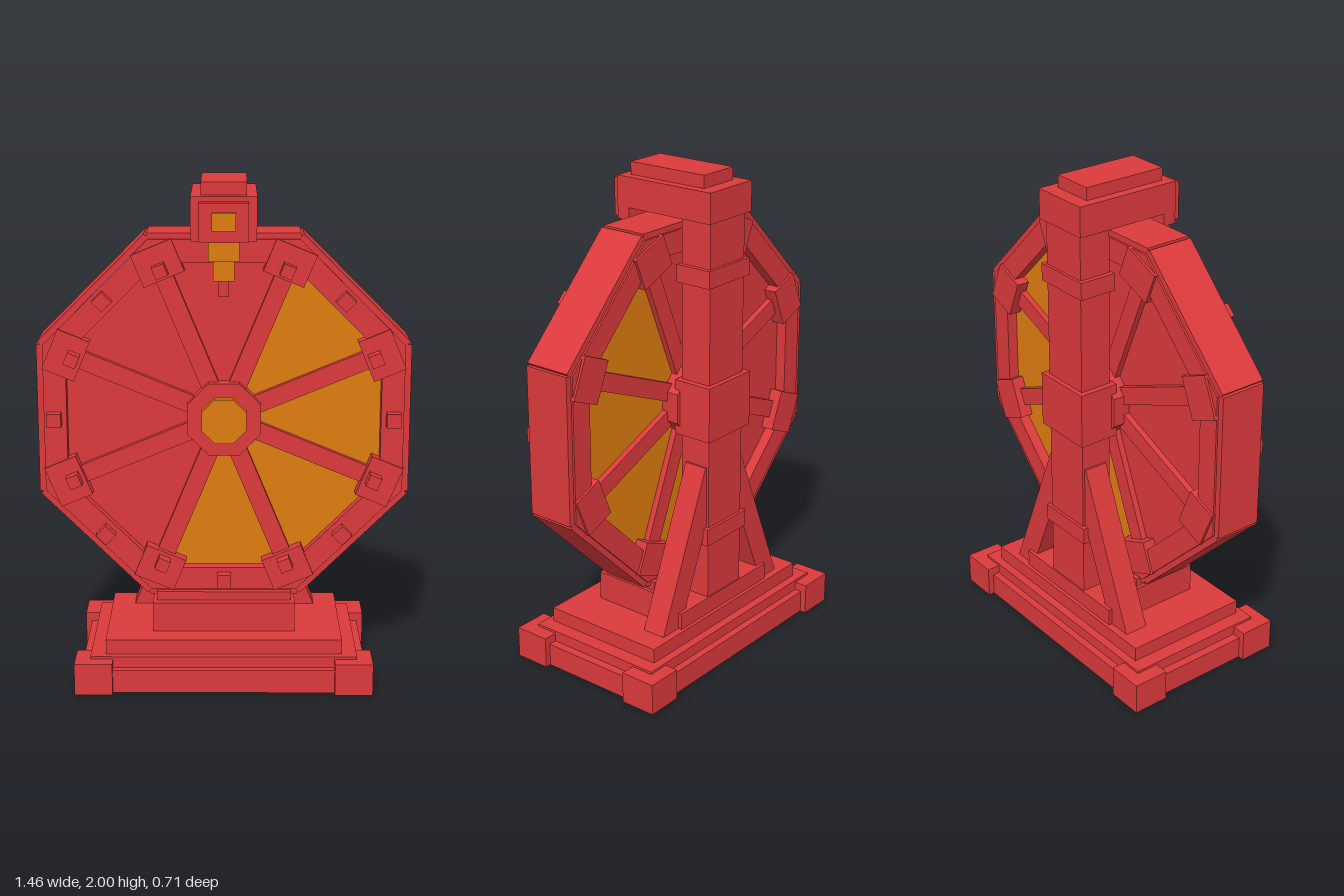
import * as THREE from 'three';

const red = new THREE.MeshStandardMaterial({ color: 0xdc3a3c });
red.name = 'red';
const orange = new THREE.MeshStandardMaterial({ color: 0xdf7d10 });
orange.name = 'orange';

// Box given by its limits on each axis
function box(parent, name, x0, x1, y0, y1, z0, z1, mat = red) {
  const m = new THREE.Mesh(new THREE.BoxGeometry(x1 - x0, y1 - y0, z1 - z0), mat);
  m.position.set((x0 + x1) / 2, (y0 + y1) / 2, (z0 + z1) / 2);
  m.name = name;
  parent.add(m);
  return m;
}

// Flat-topped octagon corners for a given apothem
function octagon(apothem) {
  const r = apothem / Math.cos(Math.PI / 8);
  return Array.from({ length: 8 }, (_, i) => {
    const a = Math.PI / 8 + i * Math.PI / 4;
    return new THREE.Vector2(r * Math.cos(a), r * Math.sin(a));
  });
}

// Shape extruded between two z values
function slab(parent, name, points, z0, z1, mat = red, hole) {
  const shape = new THREE.Shape(points);
  if (hole) shape.holes.push(new THREE.Path(hole));
  const geo = new THREE.ExtrudeGeometry(shape, { depth: z1 - z0, bevelEnabled: false });
  geo.translate(0, 0, z0);
  const m = new THREE.Mesh(geo, mat);
  m.name = name;
  parent.add(m);
  return m;
}

function buildBase() {
  const g = new THREE.Group();
  g.name = 'base';
  box(g, 'plinth', -0.565, 0.565, 0, 0.095, -0.33, 0.33);
  box(g, 'plinthStep', -0.53, 0.53, 0.095, 0.14, -0.3, 0.3);
  box(g, 'plinthTop', -0.47, 0.47, 0.14, 0.2, -0.265, 0.27);
  box(g, 'pedestal', -0.285, 0.285, 0.2, 0.32, -0.12, 0.175);
  box(g, 'pedestalTop', -0.27, 0.27, 0.32, 0.355, -0.1, 0.14);
  for (const sx of [-1, 1]) for (const sz of [-1, 1]) {
    const c = box(g, 'cornerFoot', -0.075, 0.075, 0, 0.13, -0.075, 0.075);
    c.position.x = sx * 0.515;
    c.position.z = sz * 0.28;
  }
  return g;
}

function buildWheel() {
  const g = new THREE.Group();
  g.name = 'wheel';
  g.position.y = 1.07;
  slab(g, 'rim', octagon(0.708), -0.09, 0.12, red, octagon(0.618));

  for (let i = 0; i < 8; i++) {
    // Side sector: panel, outer plate and stud
    const side = new THREE.Group();
    side.name = 'wheelSide';
    side.rotation.z = i * Math.PI / 4;
    g.add(side);
    const h = 0.625 * Math.tan(Math.PI / 8);
    const lit = i === 0 || i === 1 || i === 6 || i === 7;
    slab(side, 'panel', [[0, 0], [0.625, -h], [0.625, h]].map(p => new THREE.Vector2(...p)),
      -0.045, 0.075, lit ? orange : red);
    box(side, 'rimPlate', 0.695, 0.732, -0.297, 0.297, -0.082, 0.113);
    box(side, 'sideStud', 0.638, 0.694, -0.028, 0.028, 0.11, 0.16);

    // Corner sector: spoke, bracket and stud
    const corner = new THREE.Group();
    corner.name = 'wheelCorner';
    corner.rotation.z = (i + 0.5) * Math.PI / 4;
    g.add(corner);
    box(corner, 'spoke', 0.08, 0.66, -0.036, 0.036, -0.07, 0.1);
    box(corner, 'bracket', 0.6, 0.735, -0.085, 0.085, -0.1, 0.128);
    box(corner, 'cornerStud', 0.615, 0.665, -0.025, 0.025, 0.12, 0.178);
  }

  // Hub
  slab(g, 'hub', octagon(0.145), -0.12, 0.135);
  slab(g, 'hubCap', octagon(0.088), 0.13, 0.17, orange);
  return g;
}

function buildStand() {
  const g = new THREE.Group();
  g.name = 'stand';
  box(g, 'post', -0.105, 0.105, 0.2, 1.85, -0.245, -0.11);
  box(g, 'postFoot', -0.28, 0.28, 0.2, 0.27, -0.25, -0.11);
  box(g, 'lowerCollar', -0.125, 0.125, 0.51, 0.58, -0.257, -0.097);
  box(g, 'axleBlock', -0.13, 0.13, 0.96, 1.185, -0.265, -0.095);
  box(g, 'upperCollar', -0.125, 0.125, 1.58, 1.65, -0.257, -0.1);
  // Slanted braces either side of the post
  const profile = [[0.265, 0.2], [0.375, 0.2], [0.113, 0.84], [0.003, 0.84]];
  for (const s of [-1, 1]) {
    const pts = profile.map(([x, y]) => new THREE.Vector2(s * x, y));
    slab(g, 'brace', pts, -0.235, -0.135);
  }
  // Overhead arm
  box(g, 'arm', -0.127, 0.127, 1.83, 1.95, -0.26, 0.19);
  box(g, 'armCap', -0.088, 0.088, 1.95, 2, -0.2, 0.155);
  return g;
}

function buildPointer() {
  const g = new THREE.Group();
  g.name = 'pointer';
  box(g, 'pointerMount', -0.125, 0.125, 1.78, 1.84, 0.135, 0.19);
  box(g, 'pointerHead', -0.095, 0.095, 1.78, 1.93, 0.15, 0.232);
  box(g, 'headLamp', -0.045, 0.045, 1.825, 1.895, 0.22, 0.25, orange);
  box(g, 'pointerUpper', -0.06, 0.06, 1.705, 1.78, 0.155, 0.215, orange);
  box(g, 'pointerLower', -0.04, 0.04, 1.63, 1.705, 0.162, 0.207, orange);
  box(g, 'pointerTip', -0.02, 0.02, 1.57, 1.63, 0.168, 0.2);
  return g;
}

export function createModel() {
  const model = new THREE.Group();
  model.name = 'prizeWheel';
  model.add(buildBase(), buildStand(), buildWheel(), buildPointer());
  return model;
}
